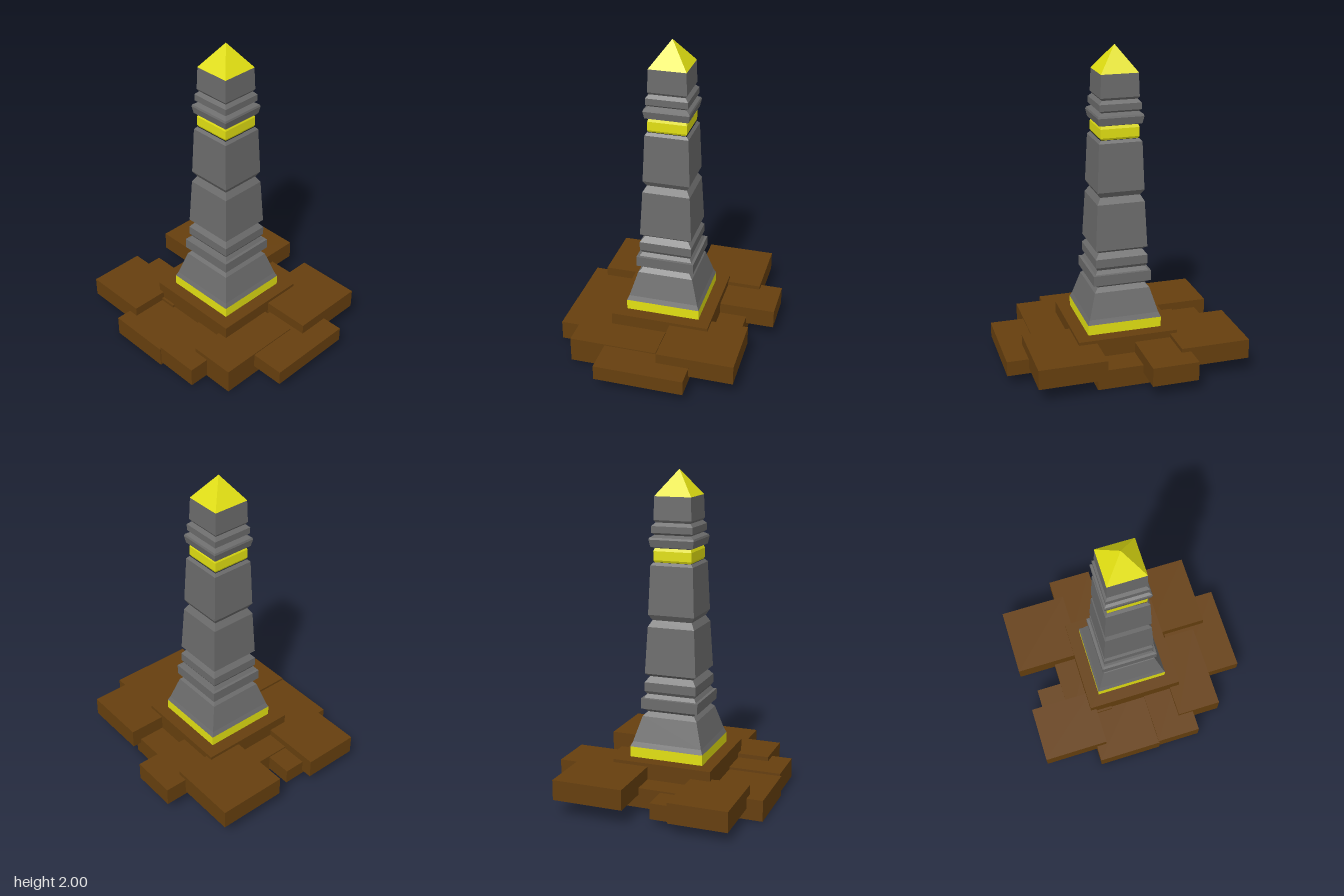
import * as THREE from 'three';

export function createModel() {
  const model = new THREE.Group();
  const mat = (name, color) => {
    const m = new THREE.MeshStandardMaterial({ color });
    m.name = name;
    return m;
  };
  const brown = mat('brown earth', 0x663f0e);
  const grey = mat('grey stone', 0x6b6b6b);
  const gold = mat('gold', 0xe2e012);

  const add = (name, geometry, material, x = 0, y = 0, z = 0) => {
    const mesh = new THREE.Mesh(geometry, material);
    mesh.name = name;
    mesh.position.set(x, y, z);
    model.add(mesh);
    return mesh;
  };

  // Paving slabs: x0, x1, y0, y1, z0, z1
  const slabs = [
    ['plinthSlab', -0.34, 0.29, 0.13, 0.25, -0.305, 0.32],
    ['backRightSlab', -0.735, -0.295, 0.105, 0.23, -0.52, -0.08],
    ['backSlab', -0.355, -0.065, 0.085, 0.205, -0.66, -0.16],
    ['backLowSlab', -0.2, 0.22, 0.01, 0.135, -0.48, -0.035],
    ['backLeftSlab', 0.175, 0.595, 0.105, 0.23, -0.54, -0.06],
    ['leftSlab', 0.31, 0.73, 0.07, 0.165, -0.265, 0.295],
    ['frontLeftSlab', 0.225, 0.515, 0.01, 0.172, -0.035, 0.52],
    ['frontLeftLowSlab', 0.04, 0.327, 0.02, 0.145, 0.2, 0.65],
    ['frontSlab', -0.37, 0.045, 0, 0.13, 0.18, 0.657],
    ['frontRightSlab', -0.722, -0.302, 0.065, 0.19, 0.195, 0.557],
    ['rightLowSlab', -0.65, -0.31, 0.04, 0.138, 0.06, 0.45],
    ['rightSlab', -0.485, -0.195, 0.025, 0.148, -0.205, 0.335],
  ];
  for (const [name, x0, x1, y0, y1, z0, z1] of slabs) {
    add(name, new THREE.BoxGeometry(x1 - x0, y1 - y0, z1 - z0), brown,
      (x0 + x1) / 2, (y0 + y1) / 2, (z0 + z1) / 2);
  }

  // Square tower section from a profile of [half width, height]
  const tower = (name, profile, material) => {
    const points = profile.map(([w, y]) => new THREE.Vector2(w * Math.SQRT2, y));
    const geometry = new THREE.LatheGeometry(points, 4, Math.PI / 4).toNonIndexed();
    geometry.computeVertexNormals();
    return add(name, geometry, material, -0.025, 0, 0.008);
  };

  tower('baseBand', [[0, 0.25], [0.235, 0.25], [0.235, 0.315]], gold);
  tower('lowerShaft', [
    [0.235, 0.315], [0.222, 0.345], [0.176, 0.5], [0.15, 0.527],
    [0.168, 0.545], [0.184, 0.55], [0.184, 0.615], [0.168, 0.617],
    [0.153, 0.64], [0.166, 0.66], [0.166, 0.715], [0.138, 0.75],
    [0.164, 0.77], [0.149, 1.06], [0.126, 1.1], [0.147, 1.135],
    [0.135, 1.435], [0.12, 1.452],
  ], grey);
  tower('upperBand', [
    [0.114, 1.452], [0.121, 1.465], [0.121, 1.52], [0.114, 1.538],
  ], gold);
  tower('upperShaft', [
    [0.114, 1.538], [0.134, 1.545], [0.143, 1.59], [0.139, 1.602],
    [0.114, 1.617], [0.13, 1.63], [0.13, 1.67], [0.11, 1.69],
    [0.12, 1.705], [0.115, 1.845],
  ], grey);
  tower('capstone', [[0, 1.845], [0.116, 1.845], [0, 2]], gold);

  return model;
}
